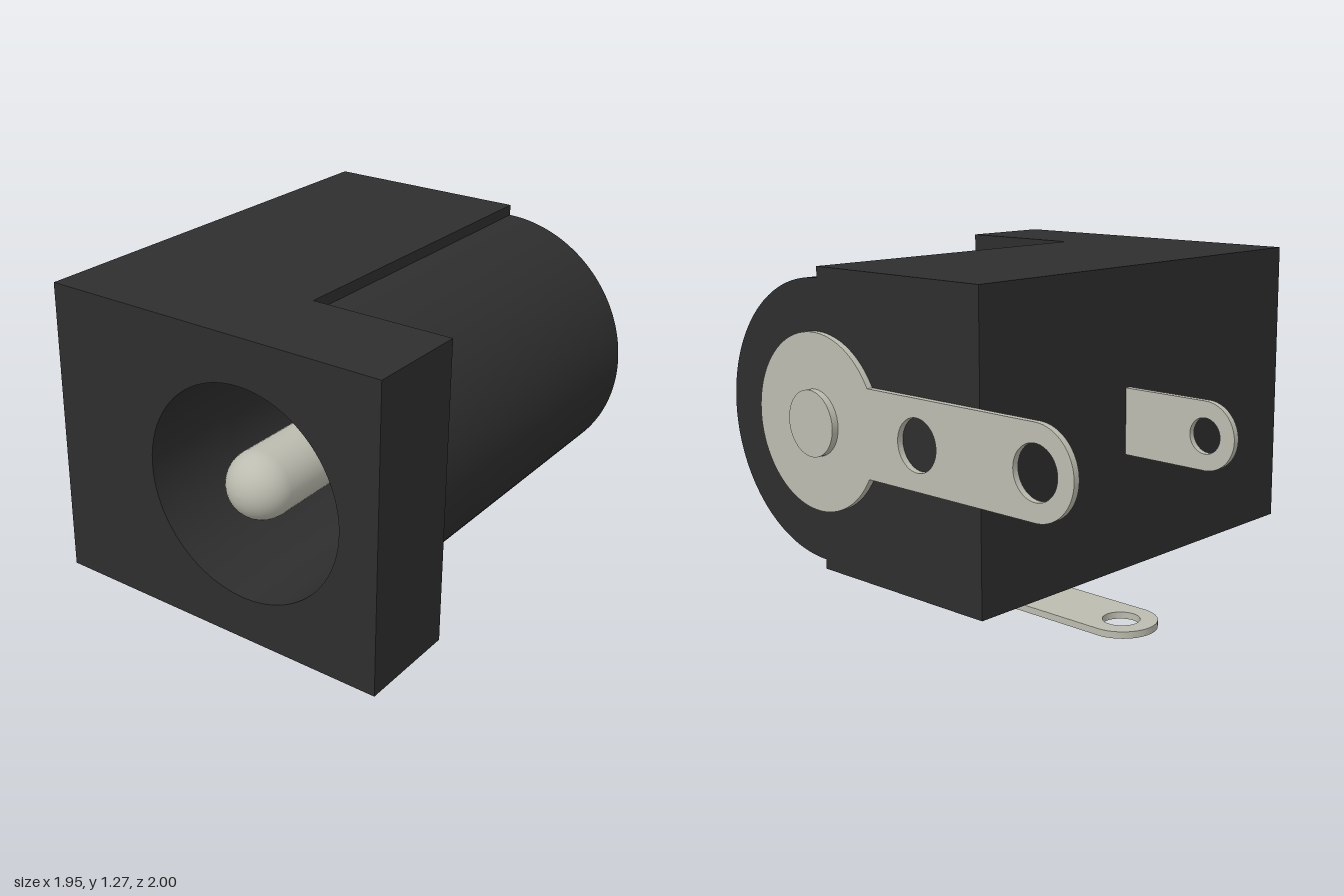
import * as THREE from 'three';
import { toCreasedNormals } from 'three/addons/utils/BufferGeometryUtils.js';

const CY = 0.66, CZ = 0.41; // axis of the socket
const BORE = 0.43;

// Circular hole in a profile
function hole(shape, u, v, r) {
  shape.holes.push(new THREE.Path().absarc(u, v, r, 0, Math.PI * 2, true));
  return shape;
}

// Extrude a (-z, y) profile along x between two positions
function extrudeX(shape, x0, x1) {
  const g = new THREE.ExtrudeGeometry(shape, { depth: x1 - x0, bevelEnabled: false, curveSegments: 40 });
  g.rotateY(Math.PI / 2).translate(x0, 0, 0);
  return toCreasedNormals(g, 0.5);
}

// Square block profile
function flangeShape() {
  return new THREE.Shape().moveTo(-1, 0.05).lineTo(0.48, 0.05).lineTo(0.48, 1.275).lineTo(-1, 1.275).closePath();
}

// Block with a round barrel bulging from its front
function bodyShape() {
  return new THREE.Shape()
    .moveTo(-CZ, 0.05).lineTo(0.48, 0.05).lineTo(0.48, 1.275).lineTo(-CZ, 1.275)
    .lineTo(-CZ, CY + 0.57)
    .absarc(-CZ, CY, 0.57, Math.PI / 2, Math.PI * 1.5, false)
    .closePath();
}

// Straight lug with a rounded, pierced end
function lugShape(start, end, v, r, holeR) {
  const s = new THREE.Shape().moveTo(start, v - r).lineTo(end, v - r)
    .absarc(end, v, r, -Math.PI / 2, Math.PI / 2, false)
    .lineTo(start, v + r).closePath();
  return hole(s, end, v, holeR);
}

export function createModel() {
  const model = new THREE.Group();
  model.name = 'powerSocket';
  const black = new THREE.MeshStandardMaterial({ color: 0x2e2e2e });
  black.name = 'black plastic';
  const metal = new THREE.MeshStandardMaterial({ color: 0xbdbcb0 });
  metal.name = 'tinned metal';

  const add = (name, geometry, material) => {
    const m = new THREE.Mesh(geometry, material);
    m.name = name;
    model.add(m);
    return m;
  };

  // Plastic housing with a deep bore
  add('frontFlange', extrudeX(hole(flangeShape(), -CZ, CY, BORE), -0.96, -0.53), black);
  add('barrelBody', extrudeX(hole(bodyShape(), -CZ, CY, BORE), -0.53, 0.7), black);
  add('barrelEnd', extrudeX(bodyShape(), 0.7, 0.915), black);

  // Centre pin with a domed tip
  const pinProfile = [];
  for (let i = 0; i <= 12; i++) {
    const a = (i / 12) * Math.PI / 2;
    pinProfile.push(new THREE.Vector2(0.135 * Math.cos(a), 0.84 + 0.135 * Math.sin(a)));
  }
  pinProfile[12].x = 0;
  pinProfile.unshift(new THREE.Vector2(0.135, -0.7));
  const pin = new THREE.LatheGeometry(pinProfile, 40).rotateZ(Math.PI / 2).translate(0, CY, CZ);
  add('centrePin', pin, metal);

  // Rivet head on the end of the pin
  const rivet = new THREE.CylinderGeometry(0.135, 0.135, 0.06, 40).rotateZ(Math.PI / 2);
  add('rivet', rivet.translate(0.94, CY, CZ), metal);

  // Keyhole-shaped end terminal
  const R = 0.36, w = 0.177, a = Math.asin(w / R);
  const key = new THREE.Shape()
    .absarc(-CZ, CY, R, a, Math.PI * 2 - a, false)
    .lineTo(0.768, CY - w)
    .absarc(0.768, CY, w, -Math.PI / 2, Math.PI / 2, false)
    .closePath();
  hole(key, 0.175, CY, 0.104);
  hole(key, 0.768, CY, 0.104);
  add('endTerminal', extrudeX(key, 0.915, 0.941), metal);

  // Upright terminal on the back
  add('backTerminal', extrudeX(lugShape(0.4, 0.865, CY, 0.135, 0.07), 0.078, 0.104), metal);

  // Flat terminal under the body, with its bent foot
  const flat = new THREE.ExtrudeGeometry(lugShape(-0.05, 0.795, 0, 0.135, 0.07),
    { depth: 0.026, bevelEnabled: false, curveSegments: 40 });
  flat.rotateZ(Math.PI / 2).rotateX(-Math.PI / 2).translate(0.505, 0, 0);
  add('bottomTerminal', toCreasedNormals(flat, 0.5), metal);
  add('bottomTerminalFoot', new THREE.BoxGeometry(0.27, 0.06, 0.022).translate(0.505, 0.04, 0.039), metal);

  return model;
}
